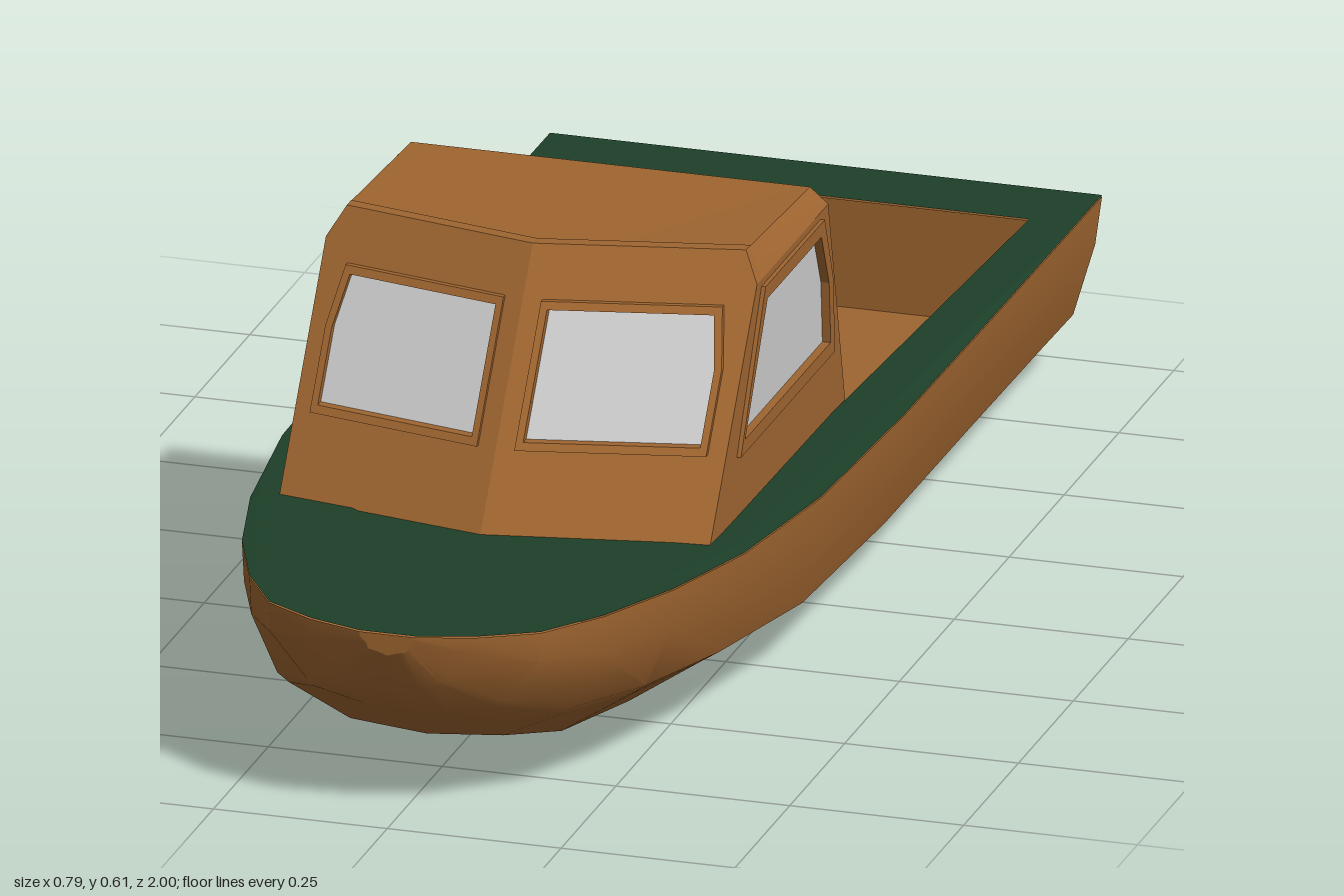
import * as THREE from 'three';
import { toCreasedNormals } from 'three/addons/utils/BufferGeometryUtils.js';

const paint = (color) => new THREE.MeshStandardMaterial({ color, side: THREE.DoubleSide });
const WOOD = paint(0x9f6530);
const GREEN = paint(0x1d4029);
const GLASS = paint(0xcccccc);

function add(parent, name, geometry, material) {
  const mesh = new THREE.Mesh(geometry, material);
  mesh.name = name;
  parent.add(mesh);
  return mesh;
}

// Skin a list of cross-sections that share the same point count
function loft(sections, closed = false, crease = 0.5) {
  const n = sections[0].length;
  const index = [];
  for (let i = 0; i < sections.length - 1; i++) {
    for (let j = 0; j < (closed ? n : n - 1); j++) {
      const k = (j + 1) % n;
      const a = i * n + j, b = i * n + k, c = (i + 1) * n + k, d = (i + 1) * n + j;
      index.push(a, b, c, a, c, d);
    }
  }
  const g = new THREE.BufferGeometry();
  g.setAttribute('position', new THREE.Float32BufferAttribute(sections.flat(2), 3));
  g.setIndex(index);
  return toCreasedNormals(g, crease);
}

const toShape = (pts) => new THREE.Shape(pts.map(([x, y]) => new THREE.Vector2(x, y)));

// Flat panel with an optional opening; its outer face lies at z = front
function panel(outline, hole, depth, front) {
  const shape = toShape(outline);
  if (hole) shape.holes.push(toShape(hole));
  const g = new THREE.ExtrudeGeometry(shape, { depth, bevelEnabled: false });
  return g.translate(0, 0, front - depth);
}

// Enlarge an outline by d on every side
function grow(pts, d) {
  const range = (k) => [Math.min(...pts.map((p) => p[k])), Math.max(...pts.map((p) => p[k]))];
  const r = [range(0), range(1)];
  return pts.map((p) => p.map((v, k) => {
    const mid = (r[k][0] + r[k][1]) / 2, half = (r[k][1] - r[k][0]) / 2;
    return mid + (v - mid) * (1 + d / half);
  }));
}

// Move every vertex by a rule, then refresh the normals
function warp(g, rule) {
  const p = g.attributes.position;
  for (let i = 0; i < p.count; i++) p.setXYZ(i, ...rule(p.getX(i), p.getY(i), p.getZ(i)));
  g.computeVertexNormals();
  return g;
}

// z, sheer half-width, sheer y, chine half-width, chine y, knee half-width, knee y, keel y
const STATIONS = [
  [1, 0.04, 0.286, 0.03, 0.27, 0.015, 0.26, 0.255],
  [0.97, 0.12, 0.284, 0.075, 0.22, 0.035, 0.2, 0.195],
  [0.92, 0.195, 0.281, 0.14, 0.175, 0.06, 0.15, 0.145],
  [0.82, 0.255, 0.276, 0.215, 0.14, 0.11, 0.085, 0.075],
  [0.68, 0.31, 0.27, 0.27, 0.125, 0.15, 0.045, 0.03],
  [0.5, 0.355, 0.262, 0.32, 0.115, 0.19, 0.028, 0.01],
  [0.25, 0.388, 0.258, 0.36, 0.1, 0.2, 0.023, 0.004],
  [-0.1, 0.397, 0.252, 0.368, 0.09, 0.2, 0.023, 0.001],
  [-0.5, 0.397, 0.248, 0.368, 0.088, 0.2, 0.03, 0.015],
  [-0.8, 0.397, 0.246, 0.368, 0.085, 0.2, 0.058, 0.052],
  [-1, 0.397, 0.245, 0.37, 0.085, 0.2, 0.073, 0.07],
];

function sheerY(z) {
  const i = Math.max(1, STATIONS.findIndex((s) => s[0] <= z + 1e-6));
  const a = STATIONS[i - 1], b = STATIONS[i];
  return THREE.MathUtils.mapLinear(z, a[0], b[0], a[2], b[2]);
}

function hullSection([z, w, ys, cw, cy, kw, ky, keel]) {
  const half = [
    [w, ys], [w * 0.99, cy + 0.6 * (ys - cy)], [cw, cy],
    [cw * 0.92, cy - 0.1 * (cy - keel) - 0.006], [kw, ky],
  ];
  const ring = [...half, [0, keel], ...half.map(([x, y]) => [-x, y]).reverse()];
  // The transom rakes forward towards its foot
  return ring.map(([x, y]) => [x, y, z === -1 ? z + 0.29 * (ys - y) : z]);
}

function buildHull(boat) {
  const sections = STATIONS.map(hullSection);
  add(boat, 'hull', loft(sections, false, 0.55), WOOD);
  const cap = (ring) => ring.map(() => [0, ring[0][1], ring[0][2]]);
  add(boat, 'transom', loft([sections.at(-1), cap(sections.at(-1))]), WOOD);
  add(boat, 'stem', loft([cap(sections[0]), sections[0]]), WOOD);

  // Deck with the cockpit opening, following the sheer
  const opening = [[0.33, -0.88], [0.303, -0.1], [0.288, 0.38], [-0.288, 0.38], [-0.303, -0.1], [-0.33, -0.88]];
  const flip = ([x, z]) => [x, -z];
  const side = STATIONS.map(([z, w]) => [w, z]);
  const rim = [...side, ...side.map(([x, z]) => [-x, z]).reverse()];
  const deck = toShape(rim.map(flip));
  deck.holes.push(toShape(opening.map(flip)));
  const deckGeo = new THREE.ShapeGeometry(deck).rotateX(-Math.PI / 2);
  add(boat, 'deck', warp(deckGeo, (x, y, z) => [x, sheerY(z) + 0.002, z]), GREEN);

  // Cockpit lining, floor and engine box
  const floorY = 0.088;
  const top = opening.map(([x, z]) => [x, sheerY(z), z]);
  const foot = opening.map(([x, z]) => [x, floorY, z]);
  add(boat, 'cockpitWalls', loft([top, foot], true), WOOD);
  const floor = new THREE.ShapeGeometry(toShape(opening.map(flip))).rotateX(-Math.PI / 2);
  add(boat, 'cockpitFloor', floor.translate(0, floorY, 0), WOOD);
  const box = new THREE.BoxGeometry(0.325, 0.162, 0.38);
  add(boat, 'engineBox', box.translate(0, floorY + 0.081, -0.14), WOOD);
}

// Sloping, slightly V-shaped windshield plane
const windshieldZ = (x, y) => 0.56 - 0.22 * Math.abs(x) - 0.7 * (y - 0.26);

function buildCabin(boat) {
  const cabin = new THREE.Group();
  cabin.name = 'cabin';
  cabin.position.x = -0.007;
  boat.add(cabin);

  const slope = (g) => warp(g, (x, y, z) => [x, y, z + windshieldZ(x, y)]);
  const turn = (g) => g.rotateY(Math.PI / 2).scale(1, 1, -1);
  const frontWall = [[0, 0.25], [0.31, 0.25], [0.31, 0.57], [0.287, 0.61], [0, 0.61]];
  const frontPane = [[0.037, 0.38], [0.275, 0.38], [0.275, 0.47], [0.262, 0.535], [0.037, 0.535]];
  const sideWall = [[-0.13, 0.24], [windshieldZ(0.31, 0.24), 0.24], [windshieldZ(0.31, 0.57), 0.57], [-0.05, 0.57]];
  const sidePane = [[-0.042, 0.37], [0.347, 0.37], [0.245, 0.54], [0, 0.54], [-0.035, 0.46]];

  for (const [prefix, s] of [['left', 1], ['right', -1]]) {
    const half = new THREE.Group();
    half.name = prefix + 'CabinHalf';
    half.scale.x = s;
    cabin.add(half);

    add(half, prefix + 'Windshield', slope(panel(frontWall, frontPane, 0.02, 0)), WOOD);
    add(half, prefix + 'WindshieldFrame', slope(panel(grow(frontPane, 0.01), frontPane, 0.01, 0.008)), WOOD);
    const frontGlass = new THREE.ShapeGeometry(toShape(frontPane)).translate(0, 0, -0.006);
    add(half, prefix + 'WindshieldGlass', slope(frontGlass), GLASS);

    // Side panels are drawn in z and y, then turned to face outwards
    const sideGeo = (g) => {
      const out = g.index ? g.toNonIndexed() : g;
      return warp(out, (a, y, d) => [d, y, a]);
    };
    add(half, prefix + 'SideWall', sideGeo(panel(sideWall, sidePane, 0.018, 0.31)), WOOD);
    add(half, prefix + 'SideFrame', sideGeo(panel(grow(sidePane, 0.02), sidePane, 0.01, 0.316)), WOOD);
    const sideGlass = new THREE.ShapeGeometry(toShape(sidePane)).translate(0, 0, 0.304);
    add(half, prefix + 'SideGlass', sideGeo(sideGlass), GLASS);
  }

  // Roof slab with chamfered sides, open at the back
  const crown = [[-0.31, 0.57], [-0.287, 0.61], [0, 0.61], [0.287, 0.61], [0.31, 0.57]];
  const under = crown.map(([x, y]) => [x * 0.945, y - 0.016]).reverse();
  const ring = [...crown, ...under];
  const front = ring.map(([x, y]) => [x, y, windshieldZ(x, y)]);
  const back = ring.map(([x, y]) => [x, y - (y > 0.58 ? 0.014 : 0), y > 0.58 ? -0.04 : -0.05]);
  add(cabin, 'roof', loft([front, back], true, 0.3), WOOD);
  const rearEdge = crown.map((_, j) => back[j]);
  const rearLip = under.map((_, j) => back[9 - j]);
  add(cabin, 'roofRearEdge', loft([rearEdge, rearLip]), WOOD);
}

export function createModel() {
  const boat = new THREE.Group();
  boat.name = 'motorBoat';
  buildHull(boat);
  buildCabin(boat);
  return boat;
}
